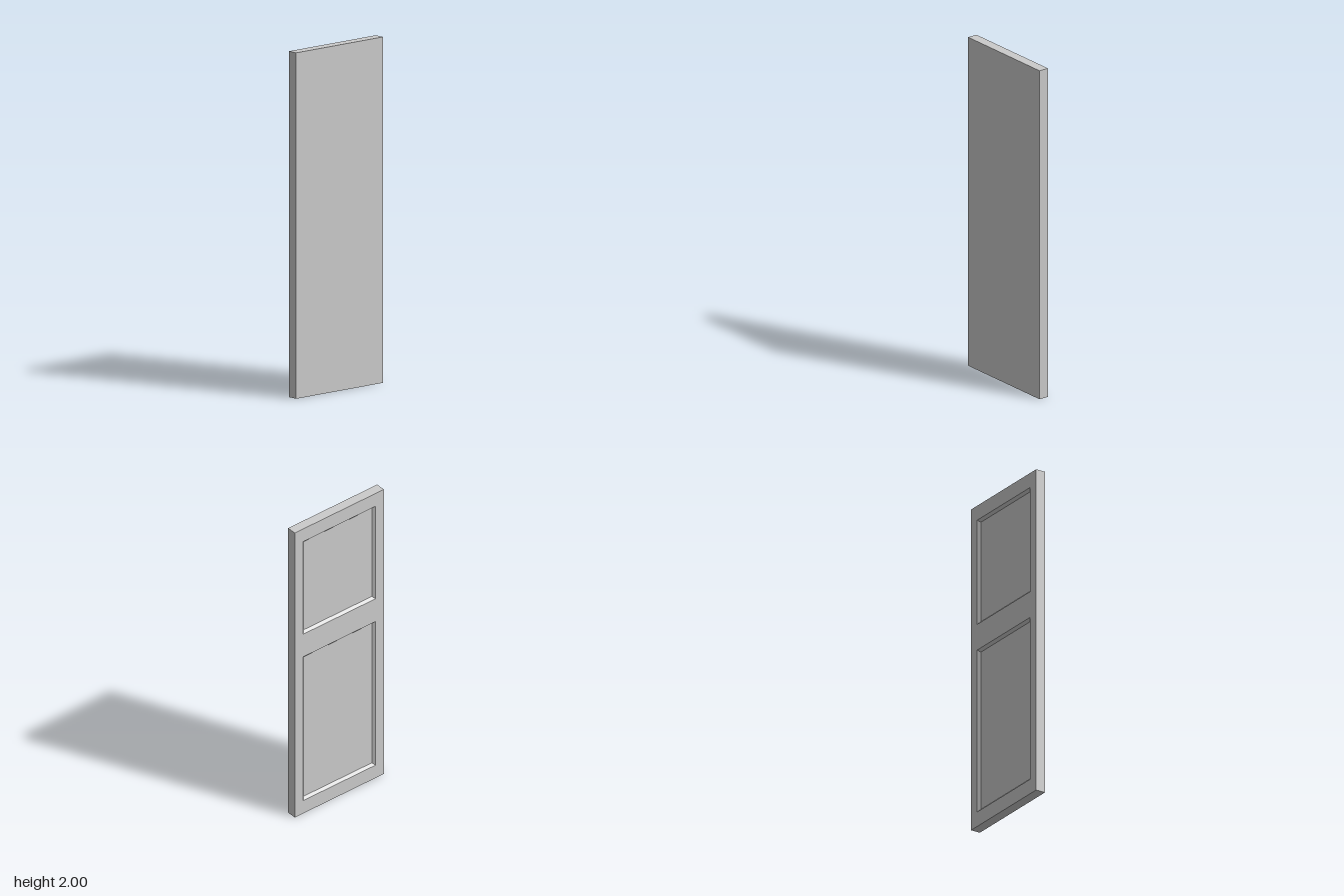
import * as THREE from 'three';

const HALF_T = 0.03, HALF_W = 0.326, HEIGHT = 2;
const BEVEL = 0.015;
const material = new THREE.MeshStandardMaterial({ color: 0xcccccc, flatShading: true });

// Rectangle in the door plane, counter-clockwise as seen from -x
const corners = ({ z0, z1, y0, y1 }, x, inset = 0) => [
  [x, y0 + inset, z0 + inset],
  [x, y0 + inset, z1 - inset],
  [x, y1 - inset, z1 - inset],
  [x, y1 - inset, z0 + inset],
];

// Open tray: four walls from rim to floor, plus the floor itself
function tray(rect, xRim, xFloor, inset, outward) {
  const rim = corners(rect, xRim), floor = corners(rect, xFloor, inset);
  const quads = [floor];
  for (let i = 0; i < 4; i++) {
    const j = (i + 1) % 4;
    quads.push([rim[i], rim[j], floor[j], floor[i]]);
  }
  const pos = [];
  for (const quad of quads) {
    const [a, b, c, d] = outward ? [...quad].reverse() : quad;
    pos.push(...a, ...b, ...c, ...a, ...c, ...d);
  }
  const geo = new THREE.BufferGeometry();
  geo.setAttribute('position', new THREE.Float32BufferAttribute(pos, 3));
  geo.computeVertexNormals();
  return geo;
}

export function createModel() {
  const door = new THREE.Group();
  door.name = 'door';
  const add = (name, geo) => {
    const mesh = new THREE.Mesh(geo, material);
    mesh.name = name;
    door.add(mesh);
  };

  const outline = { z0: -HALF_W, z1: HALF_W, y0: 0, y1: HEIGHT };
  const panels = {
    upperPanel: { z0: -0.265, z1: 0.265, y0: 1.26, y1: 1.91 },
    lowerPanel: { z0: -0.265, z1: 0.265, y0: 0.09, y1: 1.1 },
  };

  // Plain side and the four edges of the slab
  add('slab', tray(outline, -HALF_T, HALF_T, 0, true));

  // Stiles and rails around the two panel openings
  const path = (rect) => corners(rect, 0).map(([, y, z]) => new THREE.Vector2(z, y));
  const face = new THREE.Shape(path(outline));
  for (const rect of Object.values(panels)) face.holes.push(new THREE.Path(path(rect)));
  add('panelledFace', new THREE.ShapeGeometry(face).rotateY(-Math.PI / 2).translate(-HALF_T, 0, 0));

  // Recessed panels with bevelled borders
  for (const [name, rect] of Object.entries(panels)) {
    add(name, tray(rect, -HALF_T, -HALF_T + BEVEL, BEVEL, false));
  }

  // The door stands very slightly ajar
  door.rotation.y = -0.0015;
  return door;
}
